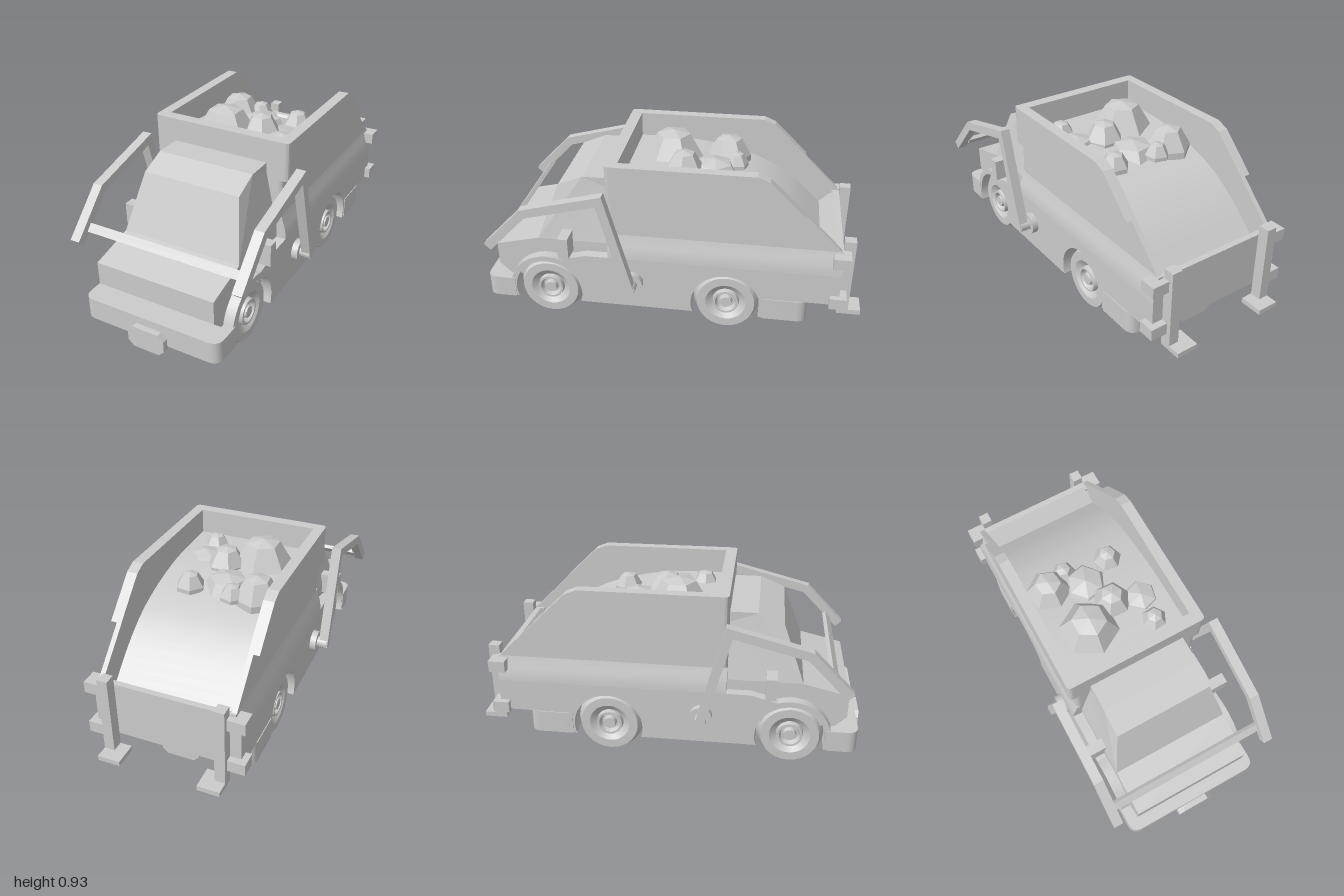
import * as THREE from 'three';
import { toCreasedNormals } from 'three/addons/utils/BufferGeometryUtils.js';

const mat = new THREE.MeshStandardMaterial({ color: 0xcccccc });
const V = (a) => a.map(([x, y]) => new THREE.Vector2(x, y));
const poly = (pts) => new THREE.Shape(V(pts));
const extrude = (shape, depth) =>
  new THREE.ExtrudeGeometry(shape, { depth, bevelEnabled: false, curveSegments: 20 });
// profile drawn in (z, y), extruded from x0 to x1
const side = (shape, x0, x1) => extrude(shape, x1 - x0).rotateY(-Math.PI / 2).translate(x1, 0, 0);
// outline drawn in (x, z), extruded from y0 to y1
const plan = (shape, y0, y1) => extrude(shape, y1 - y0).rotateX(Math.PI / 2).translate(0, y1, 0);
const box = (x0, x1, y0, y1, z0, z1) => new THREE.BoxGeometry(x1 - x0, y1 - y0, z1 - z0)
  .translate((x0 + x1) / 2, (y0 + y1) / 2, (z0 + z1) / 2);

// bar outline: rounded on the corners at the z1 end only
function roundedEnd(w, z0, z1, r) {
  const d = Math.sign(z1 - z0) * r;
  const s = new THREE.Shape();
  s.moveTo(-w, z0);
  s.lineTo(-w, z1 - d);
  s.quadraticCurveTo(-w, z1, -w + r, z1);
  s.lineTo(w - r, z1);
  s.quadraticCurveTo(w, z1, w, z1 - d);
  s.lineTo(w, z0);
  return s;
}

// constant-width bar along a bent (z, y) path
function barShape(path, w) {
  const p = V(path), a = [], b = [];
  p.forEach((q, i) => {
    const d0 = q.clone().sub(p[Math.max(i - 1, 0)]).normalize();
    const d1 = p[Math.min(i + 1, p.length - 1)].clone().sub(q).normalize();
    const t = d0.clone().add(d1).normalize();
    const k = w / 2 / Math.max(t.dot(i ? d0 : d1), 0.4);
    a.push([q.x - t.y * k, q.y + t.x * k]);
    b.unshift([q.x + t.y * k, q.y - t.x * k]);
  });
  return poly([...a, ...b]);
}

export function createModel() {
  const root = new THREE.Group();
  const add = (name, geo, crease = 0.6) => {
    const m = new THREE.Mesh(toCreasedNormals(geo, crease), mat);
    m.name = name;
    root.add(m);
    return m;
  };
  const FZ = 0.63, RZ = -0.31, WY = 0.175;

  // Lower body with wheel arches and front fenders
  const c = 0.171, dl = 0.31, body = new THREE.Shape();
  body.moveTo(-0.66, 0.12);
  for (const z of [RZ, FZ]) {
    body.lineTo(z - c, 0.12);
    body.absarc(z, WY, 0.18, Math.PI + dl, -dl, true);
  }
  body.lineTo(0.9, 0.12);
  body.lineTo(0.9, 0.23);
  body.absarc(FZ, WY, 0.21, 0.26, 1.9, false);
  body.lineTo(0.42, 0.41);
  body.lineTo(-0.88, 0.41);
  body.lineTo(-0.88, 0.24);
  body.lineTo(-0.66, 0.24);
  add('lowerBody', side(body, -0.372, 0.372));
  for (const z of [RZ, FZ]) add('wheelWell', box(-0.17, 0.17, 0.12, 0.34, z - 0.19, z + 0.19));
  add('frontBumper', plan(roundedEnd(0.376, 0.815, 0.97, 0.06), 0.118, 0.232));
  add('rearBumper', plan(roundedEnd(0.376, -0.5, -0.73, 0.06), 0.118, 0.238));

  // Octagonal plates on both bumpers
  const plate = poly([[-0.1, 0.105], [-0.07, 0.075], [0.07, 0.075], [0.1, 0.105],
    [0.1, 0.16], [0.07, 0.19], [-0.07, 0.19], [-0.1, 0.16]]);
  add('frontPlate', extrude(plate, 0.04).translate(0, 0, 0.96));
  add('rearPlate', extrude(plate, 0.04).translate(0, 0, -0.76));

  // Cab: hood block below, tapered cabin above
  add('hood', side(poly([[0.3, 0.18], [0.41, 0.18], [0.45, 0.232], [0.85, 0.232], [0.91, 0.29],
    [0.91, 0.41], [0.68, 0.465], [0.3, 0.465]]), -0.32, 0.32), 0.1);
  const cabin = side(poly([[0.3, 0.465], [0.68, 0.465], [0.57, 0.755], [0.44, 0.81],
    [0.3, 0.81], [0.3, 0.755]]), -1, 1);
  const p = cabin.attributes.position;
  for (let i = 0; i < p.count; i++) {
    const t = Math.min((p.getY(i) - 0.465) / 0.29, 1);
    p.setX(i, p.getX(i) * (0.32 - 0.06 * t));
  }
  add('cabin', cabin, 0.1);

  // Hopper front wall, lower and upper bands
  add('hopperFrontLower', plan(roundedEnd(0.345, 0.24, 0.3, 0.025), 0.41, 0.735));
  add('hopperFrontUpper', plan(roundedEnd(0.375, 0.24, 0.3, 0.025), 0.73, 0.93));
  // Rear panel with inward sloping back
  add('rearPanel', side(poly([[-0.88, 0.4], [-0.88, 0.53], [-0.85, 0.53], [-0.77, 0.45],
    [-0.77, 0.4]]), -0.33, 0.33), 0.1);

  // Load surface rising towards the cab
  const top = new THREE.SplineCurve(V([[0.25, 0.8], [-0.1, 0.79], [-0.4, 0.72], [-0.6, 0.61],
    [-0.78, 0.45]])).getPoints(20);
  add('loadSurface', side(new THREE.Shape([new THREE.Vector2(-0.78, 0.4),
    new THREE.Vector2(0.25, 0.4), ...top]), -0.325, 0.325));

  // Faceted lumps: x, y of centre, z, radius
  const lump = V([[1, -0.3], [1, 0], [0.55, 0.78], [0, 0.92]]);
  [[-0.12, 0.785, 0.03, 0.16], [-0.2, 0.77, -0.26, 0.12], [-0.09, 0.775, -0.31, 0.065],
    [0.15, 0.77, -0.28, 0.075], [0.05, 0.8, -0.05, 0.1], [0.19, 0.79, 0.14, 0.07],
    [-0.02, 0.67, -0.2, 0.17], [0.19, 0.7, 0, 0.14]].forEach(([x, y, z, r], i) => {
    const g = new THREE.LatheGeometry(lump, 6).scale(r, r, r);
    g.rotateY(i * 0.12).translate(x, y, z);
    add('loadLump', g, 0.05);
  });

  // Tyre and hub profile as (radius, offset along the axle)
  const tyre = V([[0, -0.085], [0.15, -0.085], [0.173, -0.03], [0.173, 0.03], [0.15, 0.085],
    [0.105, 0.085], [0.07, 0.06], [0.066, 0.085], [0.055, 0.085], [0.045, 0.06],
    [0.035, 0.06], [0.03, 0.085], [0, 0.085]]);

  for (const s of [1, -1]) {
    // adds a part laid out for the left side, mirrored when s is -1
    const both = (name, x0, x1, shape, crease) =>
      add(name, s > 0 ? side(shape, x0, x1) : side(shape, -x1, -x0), crease);
    const block = (name, x0, x1, ...r) => add(name, box(x0, x1, ...r).translate(s > 0 ? 0 : -x0 - x1, 0, 0));

    // Rounded shoulder above the lower body
    const sh = [[0.32, 0.41], [0.372, 0.41], [0.37, 0.44], [0.363, 0.475], [0.352, 0.51],
      [0.345, 0.54], [0.32, 0.54]].map(([x, y]) => [x * s, y]);
    add('bodyShoulder', extrude(poly(sh), 1.18).translate(0, 0, -0.88));

    // Hopper side walls with the raised outer band
    both('hopperSideLower', 0.32, 0.345, poly([[0.28, 0.53], [0.28, 0.93], [-0.44, 0.93],
      [-0.5, 0.905], [-0.88, 0.53]]), 0.1);
    both('hopperSideUpper', 0.32, 0.375, poly([[0.27, 0.73], [0.27, 0.93], [-0.44, 0.93],
      [-0.5, 0.905], [-0.68, 0.73]]), 0.1);

    // Wheels
    for (const z of [FZ, RZ]) {
      add(z > 0 ? 'frontWheel' : 'rearWheel', new THREE.LatheGeometry(tyre, 28)
        .rotateZ(-s * Math.PI / 2).translate(s * 0.26, WY, z));
    }

    // Lifting arm, pivot and mirror
    both('liftArm', 0.415, 0.465, barShape([[0.17, 0.26], [0.31, 0.785], [0.7, 0.685],
      [0.9, 0.48]], 0.046), 0.1);
    add('armPivot', new THREE.CylinderGeometry(0.057, 0.057, 0.07, 20).rotateZ(Math.PI / 2)
      .translate(s * 0.37, 0.28, 0.175));
    add('armPin', new THREE.CylinderGeometry(0.03, 0.03, 0.08, 16).rotateZ(Math.PI / 2)
      .translate(s * 0.42, 0.28, 0.175));
    block('mirror', 0.31, 0.415, 0.41, 0.525, 0.495, 0.55);

    // Rear lift posts with feet and brackets
    block('rearPost', 0.262, 0.315, 0.15, 0.58, -0.937, -0.88);
    block('rearFoot', 0.2, 0.315, 0.15, 0.176, -1, -0.88);
    for (const y of [0.235, 0.47]) block('rearBracket', 0.31, 0.403, y, y + 0.06, -0.915, -0.83);
  }

  // Bar joining the two arms
  add('armCrossbar', new THREE.BoxGeometry(0.84, 0.045, 0.022).rotateX(-0.7)
    .translate(0, 0.53, 0.825));
  return root;
}
